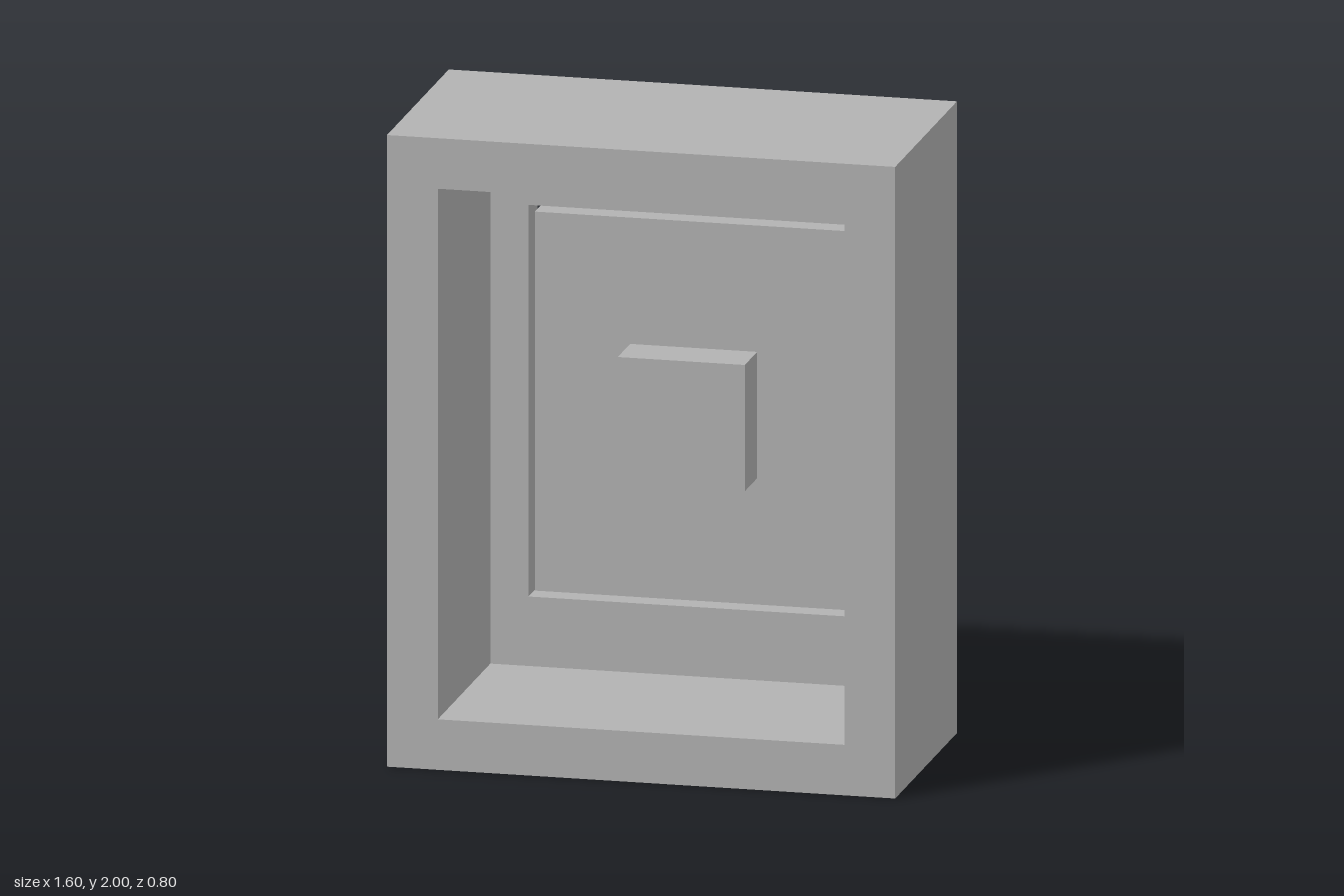
import * as THREE from 'three';

// Sweeps through centred rectangles [halfWidth, halfHeight, z] and closes the loop into a solid frame
function rectLoopGeometry(sections, centreY) {
  const corners = [[1, -1], [1, 1], [-1, 1], [-1, -1]];
  const point = ([w, h, z], j) => {
    const [sx, sy] = corners[j % 4];
    return [sx * w, centreY + sy * h, z];
  };
  const positions = [];
  sections.forEach((a, i) => {
    const b = sections[(i + 1) % sections.length];
    for (let j = 0; j < 4; j++) {
      const a0 = point(a, j), a1 = point(a, j + 1);
      const b0 = point(b, j), b1 = point(b, j + 1);
      positions.push(...a0, ...b0, ...b1, ...a0, ...b1, ...a1);
    }
  });
  const geometry = new THREE.BufferGeometry();
  geometry.setAttribute('position', new THREE.Float32BufferAttribute(positions, 3));
  geometry.computeVertexNormals();
  return geometry;
}

export function createModel() {
  const model = new THREE.Group();
  model.name = 'openCabinet';

  const grey = new THREE.MeshStandardMaterial({ color: 0xb2b2b2 });
  grey.name = 'plain grey';

  const front = 0.4, back = -0.4, innerBack = -0.28;

  const add = (name, geometry, y = 0, z = 0) => {
    const mesh = new THREE.Mesh(geometry, grey);
    mesh.name = name;
    mesh.position.set(0, y, z);
    model.add(mesh);
  };

  // Housing: open front, deep cavity, rectangular cut-out through the back wall
  add('housing', rectLoopGeometry([
    [0.8, 1, front],
    [0.8, 1, back],
    [0.52, 0.62, back],
    [0.52, 0.62, innerBack],
    [0.64, 0.84, innerBack],
    [0.64, 0.84, front],
  ], 1));

  // Panel sitting in the cut-out with a narrow gap all round
  add('backPanel', new THREE.BoxGeometry(1, 1.2, innerBack - back), 1, (innerBack + back) / 2);

  // Block mounted on the inside of the panel
  add('innerBlock', new THREE.BoxGeometry(0.4, 0.4, 0.16), 1, innerBack + 0.08);

  return model;
}
